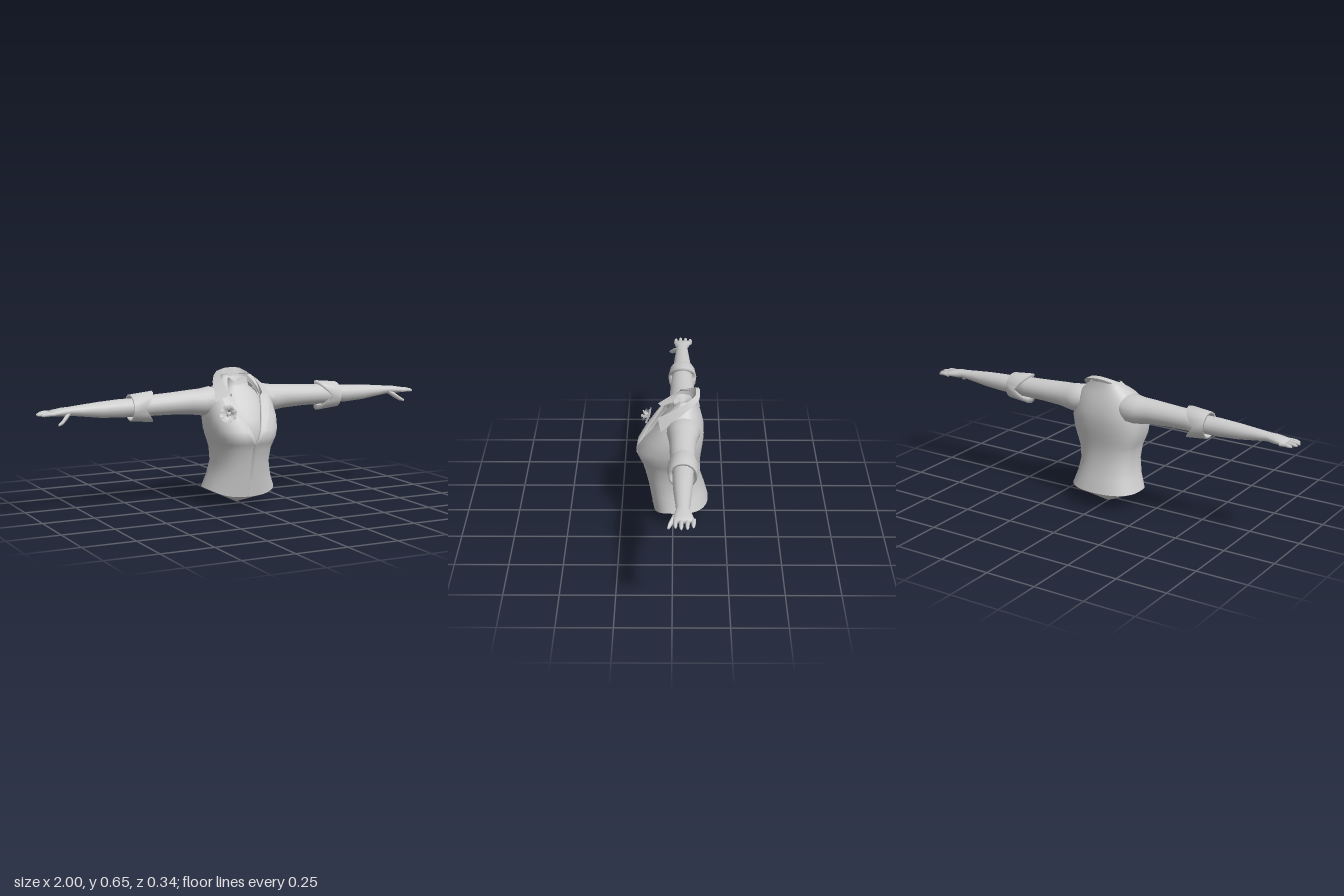
import * as THREE from 'three';

const TAU = Math.PI * 2, CZ = -0.04;
const material = new THREE.MeshStandardMaterial({ color: 0xcccccc, side: THREE.DoubleSide });

function mesh(name, geometry) {
  const m = new THREE.Mesh(geometry, material);
  m.name = name;
  return m;
}

// Skin a list of equal-length rings of [x, y, z]
function loft(rings, closed = true) {
  const n = rings[0].length, index = [];
  for (let i = 0; i < rings.length - 1; i++) {
    for (let j = 0; j < (closed ? n : n - 1); j++) {
      const k = (j + 1) % n, a = i * n + j, b = i * n + k;
      index.push(a, b, b + n, a, b + n, a + n);
    }
  }
  const g = new THREE.BufferGeometry();
  g.setAttribute('position', new THREE.Float32BufferAttribute(rings.flat(2), 3));
  g.setIndex(index);
  g.computeVertexNormals();
  return g;
}

const pole = (p, n) => Array.from({ length: n }, () => p);

// Mirror a mesh to the other side of the body
function mirrored(m, name) {
  const g = m.geometry.clone().scale(-1, 1, 1), id = g.index.array;
  for (let i = 0; i < id.length; i += 3) [id[i], id[i + 1]] = [id[i + 1], id[i]];
  return mesh(name, g);
}

// Horizontal body section [y, halfWidth, frontZ, backZ, frontGap]
function bodyRing([y, w, zf, zb, gap = 0], seg = 36, drop = 0, closed = false) {
  const t0 = Math.asin(Math.pow(gap / w, 2.7 / 2));
  return Array.from({ length: closed ? seg : seg + 1 }, (_, i) => {
    const t = t0 + (TAU - 2 * t0) * i / seg, s = Math.sin(t), c = Math.cos(t);
    const e = 2 / (c > 0 ? 2.7 : 2.3);
    return [
      w * Math.sign(s) * Math.pow(Math.abs(s), e),
      y - drop * Math.max(0, c) ** 2,
      CZ + (c > 0 ? zf - CZ : zb - CZ) * Math.pow(Math.abs(c), e),
    ];
  });
}

// Section along the arm [x, y, halfHeight, z, halfDepth]
const armRing = ([x, y, ry, z, rz], seg = 14) => Array.from({ length: seg }, (_, i) => {
  const a = TAU * i / seg;
  return [x, y - ry * Math.sin(a), z + rz * Math.cos(a)];
});

function limb(rows, seg = 14) {
  const [x, y, , z] = rows[rows.length - 1];
  return loft([...rows.map(r => armRing(r, seg)), pole([x + 0.002, y, z], seg)]);
}

const JACKET = [
  [0.085, 0.176, 0.093, -0.17, 0], [0.15, 0.15, 0.108, -0.152, 0],
  [0.215, 0.136, 0.122, -0.131, 0], [0.28, 0.142, 0.14, -0.129, 0],
  [0.31, 0.152, 0.156, -0.131, 0.002], [0.338, 0.162, 0.169, -0.134, 0.012],
  [0.375, 0.172, 0.163, -0.14, 0.026], [0.43, 0.178, 0.13, -0.147, 0.046],
  [0.48, 0.17, 0.095, -0.145, 0.064], [0.53, 0.155, 0.06, -0.133, 0.078],
  [0.565, 0.128, 0.03, -0.12, 0.078], [0.595, 0.095, 0.0, -0.109, 0.066],
  [0.62, 0.075, -0.03, -0.104, 0.05],
];

// Jacket front depth at a point, used to lay trim on the cloth
function frontZ(x, y) {
  let i = 0;
  while (i < JACKET.length - 2 && JACKET[i + 1][0] < y) i++;
  const a = JACKET[i], b = JACKET[i + 1];
  const f = THREE.MathUtils.clamp((y - a[0]) / (b[0] - a[0]), 0, 1);
  const w = a[1] + (b[1] - a[1]) * f, z = a[2] + (b[2] - a[2]) * f;
  return CZ + (z - CZ) * Math.pow(Math.max(0, 1 - Math.pow(Math.abs(x) / w, 2.7)), 1 / 2.7);
}

function torso(g) {
  const drops = [0.035, 0.018, 0.006];
  g.add(mesh('jacket', loft(JACKET.map((r, i) => bodyRing(r, 36, drops[i] || 0)), false)));
  const hem = bodyRing(JACKET[0], 36, drops[0], true);
  g.add(mesh('hemCap', loft([pole([0, 0.003, CZ], 36), hem])));

  // Bare chest and neck stump inside the open front
  const chest = [
    [0.27, 0.07, 0.105, -0.09], [0.34, 0.095, 0.135, -0.1], [0.42, 0.115, 0.105, -0.11],
    [0.49, 0.115, 0.062, -0.11], [0.54, 0.09, 0.025, -0.1], [0.57, 0.056, 0.0, -0.092],
    [0.61, 0.046, -0.004, -0.09],
  ].map((r, i) => bodyRing(r, 24, i === 6 ? 0.025 : 0, true));
  g.add(mesh('chest', loft(chest)));
  g.add(mesh('neckCap', loft([chest[6], pole([0, 0.59, -0.05], 24)])));

  // Lapels folded along the V of the opening
  const lapel = mesh('leftLapel', loft(JACKET.slice(4, 10).map(([y, , , , gap], i) => {
    const width = [0.004, 0.018, 0.03, 0.04, 0.047, 0.045][i];
    return [[gap, y, frontZ(gap, y) - 0.012], [gap, y, frontZ(gap, y) + 0.006],
      [gap + width, y + 0.004, frontZ(gap + width, y) + 0.006]];
  }), false));
  g.add(lapel, mirrored(lapel, 'rightLapel'));

  // Overlapping front edge below the opening
  g.add(mesh('placket', loft([0.05, 0.12, 0.2, 0.26, 0.31].map(y => {
    const z = frontZ(0, y) + 0.004;
    return [[-0.004, y, z - 0.008], [-0.004, y, z], [0.014, y + 0.001, z]];
  }), false)));
}

function collar(g) {
  // Half outlines, from centre back to the front point
  const stand = [[0, 0.6, -0.1], [0.045, 0.597, -0.09], [0.07, 0.58, -0.05], [0.078, 0.55, 0.005], [0.078, 0.528, 0.055]];
  const fold = [[0, 0.65, -0.108], [0.048, 0.645, -0.105], [0.082, 0.615, -0.05], [0.088, 0.58, 0.012], [0.08, 0.545, 0.071]];
  const edge = [[0, 0.642, -0.126], [0.068, 0.634, -0.122], [0.118, 0.593, -0.06], [0.14, 0.553, 0.0], [0.157, 0.51, 0.055]];
  const full = half => {
    const pts = [...half.slice(1).reverse().map(([x, y, z]) => [-x, y, z]), ...half];
    return new THREE.CatmullRomCurve3(pts.map(p => new THREE.Vector3(...p)))
      .getPoints(16).map(p => p.toArray());
  };
  g.add(mesh('collar', loft([full(edge), full(fold)], false)));
  g.add(mesh('collarStand', loft([full(fold), full(stand)], false)));
}

function cuff() {
  // Turned-back band: deep at top and bottom, notched at front and back
  const n = 16, y = 0.495, z = -0.046;
  const ring = (x0, notch, ry, rz) => armRing([0, y, ry, z, rz], n).map((p, i) =>
    [x0 - notch * Math.abs(Math.sin(TAU * i / n)), p[1], p[2]]);
  return mesh('leftCuff', loft([
    ring(0.505, 0.055, 0.05, 0.054), ring(0.5, 0.06, 0.074, 0.071),
    ring(0.55, 0, 0.063, 0.065), ring(0.55, 0, 0.053, 0.055), ring(0.515, 0, 0.044, 0.049),
  ]));
}

function arms(g) {
  const parts = {
    Sleeve: limb([[0.09, 0.508, 0.045, -0.05, 0.06], [0.14, 0.502, 0.07, -0.05, 0.08],
      [0.19, 0.5, 0.064, -0.048, 0.069], [0.25, 0.503, 0.058, -0.046, 0.062],
      [0.35, 0.502, 0.052, -0.045, 0.058], [0.45, 0.5, 0.049, -0.046, 0.054],
      [0.515, 0.497, 0.046, -0.046, 0.05]], 18),
    Hand: limb([[0.5, 0.496, 0.043, -0.046, 0.047], [0.6, 0.496, 0.043, -0.046, 0.046],
      [0.7, 0.496, 0.037, -0.045, 0.04], [0.79, 0.498, 0.027, -0.045, 0.033],
      [0.85, 0.499, 0.02, -0.045, 0.029], [0.885, 0.497, 0.02, -0.046, 0.038],
      [0.92, 0.495, 0.015, -0.049, 0.044], [0.942, 0.493, 0.01, -0.051, 0.045]]),
    Thumb: limb([[0.85, 0.49, 0.009, -0.03, 0.012], [0.875, 0.474, 0.014, -0.01, 0.014],
      [0.898, 0.457, 0.011, 0.007, 0.01], [0.918, 0.448, 0.006, 0.015, 0.006]], 8),
  };
  [[-0.089, 0.982], [-0.064, 0.996], [-0.038, 0.998], [-0.014, 0.986]].forEach(([z, tip], i) => {
    parts['Finger' + (i + 1)] = limb([[0.925, 0.493, 0.009, z, 0.011],
      [0.955, 0.494, 0.009, z, 0.0095], [tip - 0.012, 0.492, 0.008, z, 0.008],
      [tip, 0.49, 0.004, z, 0.004]], 8);
  });
  const c = cuff();
  g.add(c, mirrored(c, 'rightCuff'));
  for (const [name, geometry] of Object.entries(parts)) {
    const m = mesh('left' + name, geometry);
    g.add(m, mirrored(m, 'right' + name));
  }
}

// Rosette of cupped petals pinned to the right breast
function flower() {
  const f = new THREE.Group();
  f.name = 'flower';
  [[8, 0.03, 0.036, 1.25], [6, 0.022, 0.032, 0.75], [4, 0.014, 0.03, 0.3]].forEach(([count, w, h, tilt], layer) => {
    for (let i = 0; i < count; i++) {
      const p = new THREE.PlaneGeometry(w, h, 2, 2).translate(0, h / 2, 0);
      const pos = p.attributes.position;
      for (let k = 0; k < pos.count; k++) {
        const x = pos.getX(k), y = pos.getY(k) / h;
        pos.setXYZ(k, x * (0.45 + 0.55 * y), y * h, x * x * 18 - 0.006 * y * y);
      }
      p.computeVertexNormals();
      p.rotateX(Math.PI / 2 - tilt).translate(0, 0.005, 0.01 + layer * 0.006);
      p.rotateZ(TAU * (i + layer * 0.5) / count);
      f.add(mesh('petal', p));
    }
  });
  f.add(mesh('flowerHeart', new THREE.SphereGeometry(0.014, 8, 6).translate(0, 0, 0.022)));
  f.position.set(-0.118, 0.455, frontZ(0.118, 0.455) + 0.012);
  f.lookAt(-0.118 - 0.25, 0.455 + 0.2, f.position.z + 0.9);
  return f;
}

export function createModel() {
  const g = new THREE.Group();
  g.name = 'jacketedTorso';
  torso(g);
  collar(g);
  arms(g);
  g.add(flower());
  return g;
}
